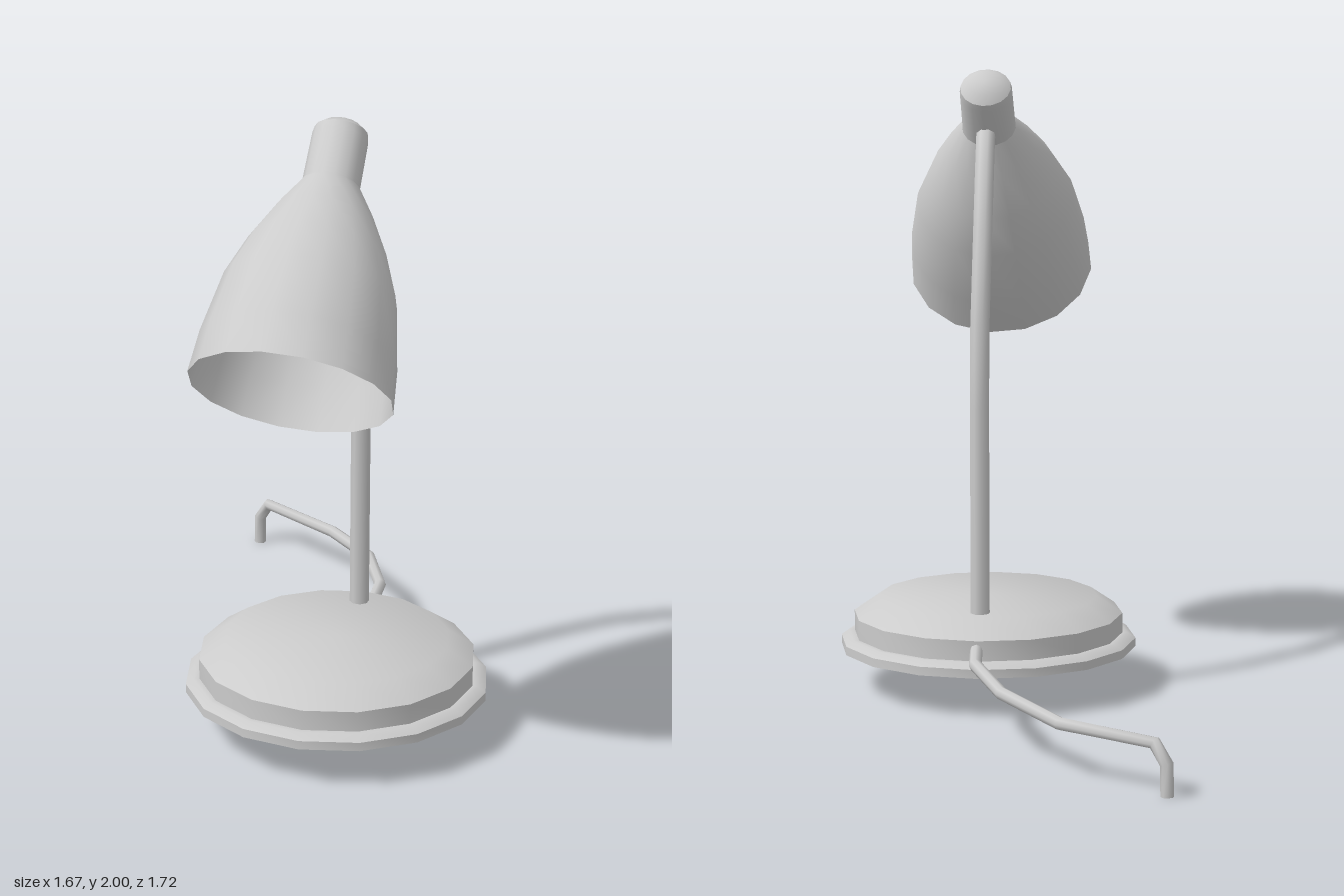
import * as THREE from 'three';
import { toCreasedNormals } from 'three/addons/utils/BufferGeometryUtils.js';

const material = new THREE.MeshStandardMaterial({ color: 0xcccccc, side: THREE.DoubleSide });

function addPart(parent, name, geometry) {
  const mesh = new THREE.Mesh(geometry, material);
  mesh.name = name;
  parent.add(mesh);
  return mesh;
}

// Profile points are [radius, height], listed from bottom to top
function lathe(profile, sides, phase = 0) {
  const points = profile.map(([r, y]) => new THREE.Vector2(r, y));
  return toCreasedNormals(new THREE.LatheGeometry(points, sides, phase), 0.7);
}

// Polyline with one tube ring per corner, mitred by averaged tangents
class CornerPath extends THREE.Curve {
  constructor(points) {
    super();
    this.points = points.map((p) => new THREE.Vector3(...p));
  }
  getPointAt(u, target = new THREE.Vector3()) {
    return target.copy(this.points[Math.round(u * (this.points.length - 1))]);
  }
  getTangentAt(u, target = new THREE.Vector3()) {
    const p = this.points, last = p.length - 1, i = Math.round(u * last);
    target.set(0, 0, 0);
    if (i > 0) target.add(p[i].clone().sub(p[i - 1]).normalize());
    if (i < last) target.add(p[i + 1].clone().sub(p[i]).normalize());
    return target.normalize();
  }
}

function tube(points, radius, sides) {
  return new THREE.TubeGeometry(new CornerPath(points), points.length - 1, radius, sides);
}

export function createModel() {
  const lamp = new THREE.Group();
  lamp.name = 'deskLamp';

  // Hollow stepped base, open underneath
  const base = addPart(lamp, 'base', lathe([
    [0.48, 0.13], [0.48, 0.158], [0.455, 0.175], [0.437, 0.175],
    [0.437, 0.24], [0.355, 0.296], [0, 0.298],
  ], 16, 0.083));
  base.position.set(-0.095, 0, 0.32);

  // Gooseneck pole: straight, then bending over to the lamp head
  addPart(lamp, 'pole', tube([
    [0.155, 0.28, 0.195], [0.155, 0.95, 0.195], [0.135, 1.21, 0.205],
    [0.06, 1.5, 0.24], [-0.03, 1.69, 0.288], [-0.105, 1.782, 0.33], [-0.15, 1.815, 0.35],
  ], 0.031, 8));

  // Tilted head, running down its axis from the cap to the open rim
  const head = new THREE.Group();
  head.name = 'head';
  const top = new THREE.Vector3(-0.09, 1.94, 0.32);
  const rim = new THREE.Vector3(-0.595, 1.315, 0.573);
  head.position.copy(top);
  head.quaternion.setFromUnitVectors(new THREE.Vector3(0, 1, 0), top.clone().sub(rim).normalize());
  lamp.add(head);
  addPart(head, 'shade', lathe([
    [0.305, -0.842], [0.294, -0.71], [0.259, -0.515], [0.21, -0.39], [0.147, -0.27], [0.087, -0.175],
  ], 16));
  addPart(head, 'socketCap', lathe([
    [0.087, -0.19], [0.085, -0.02], [0.081, 0.003], [0.055, 0.024], [0, 0.032],
  ], 16));

  // Power cord, trailing behind and dropping at its end
  addPart(lamp, 'cord', tube([
    [0.25, 0.21, 0.15], [0.45, 0.207, 0.03], [0.64, 0.185, -0.18], [0.77, 0.157, -0.46],
    [0.81, 0.153, -0.80], [0.81, 0.095, -0.84], [0.81, 0, -0.842],
  ], 0.02, 8));
  const cordEnd = addPart(lamp, 'cordEnd', new THREE.CircleGeometry(0.02, 8));
  cordEnd.rotation.x = Math.PI / 2;
  cordEnd.position.set(0.81, 0, -0.842);

  return lamp;
}
